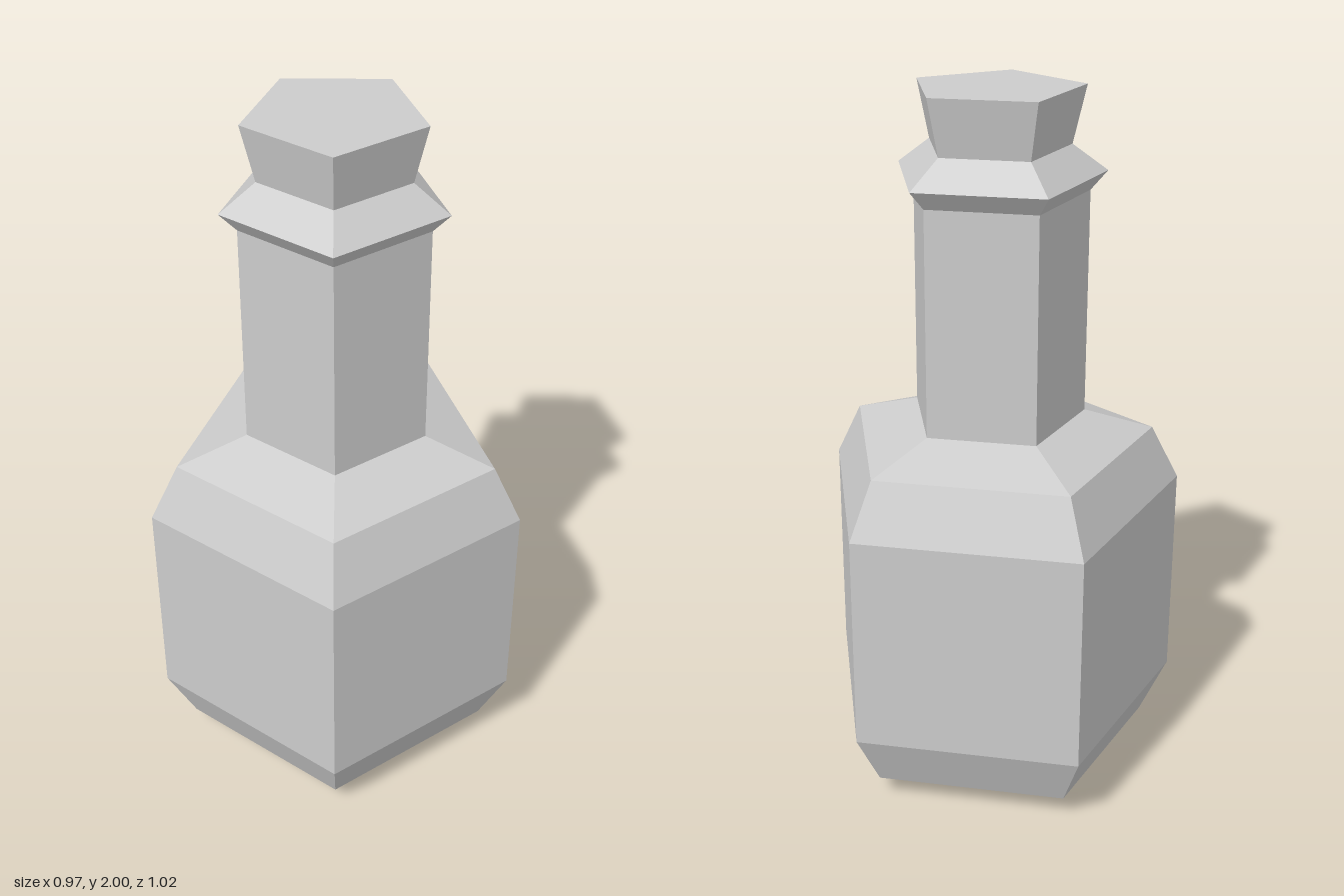
import * as THREE from 'three';

const SIDES = 5;
const material = new THREE.MeshStandardMaterial({ color: 0xcccccc, flatShading: true });

// Five-sided turned part from [radius, height] pairs, bottom to top, one corner on +x
function turned(name, profile) {
  const points = profile.map(([r, y]) => new THREE.Vector2(r, y));
  const mesh = new THREE.Mesh(new THREE.LatheGeometry(points, SIDES, Math.PI / 2), material);
  mesh.name = name;
  return mesh;
}

export function createModel() {
  const neck = 0.257, shoulder = 0.457, belly = 0.538, mouth = 0.205;
  const bottle = new THREE.Group();
  bottle.name = 'bottle';

  bottle.add(
    // Chamfered belly with a closed base
    turned('body', [
      [0, 0], [neck, 0], [shoulder, 0.065], [belly, 0.225],
      [belly, 0.855], [shoulder, 1.015], [neck, 1.08],
    ]),
    // Straight neck
    turned('neck', [[neck, 1.08], [neck, 1.717]]),
    // Flared lip
    turned('lip', [[neck, 1.717], [0.304, 1.769], [mouth, 1.843]]),
    // Stopper widening to a flat top
    turned('stopper', [[mouth, 1.843], [0.242, 2], [0, 2]]),
  );

  // Centre the pentagon's extent on x = 0
  bottle.position.x = -belly * (1 - Math.cos(Math.PI / SIDES)) / 2;

  const model = new THREE.Group();
  model.name = 'stopperedBottle';
  model.add(bottle);
  return model;
}
